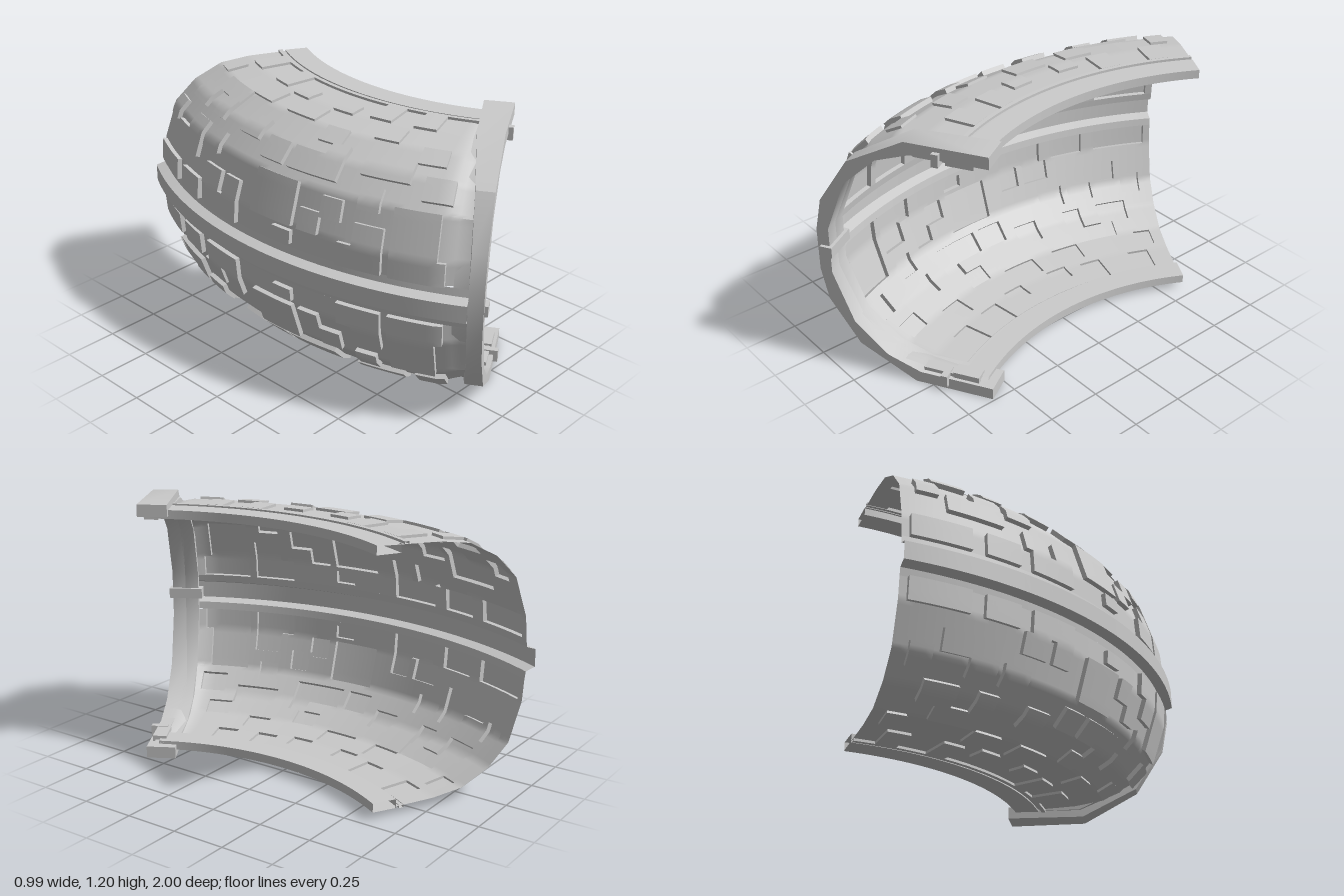
import * as THREE from 'three';
import { toCreasedNormals } from 'three/addons/utils/BufferGeometryUtils.js';

const CX = 1.49, CY = 0.6, HALF = Math.PI / 6; // ring axis, mid height, half sweep
const DEG = Math.PI / 180;
const { lerp, clamp, smoothstep } = THREE.MathUtils;

const material = new THREE.MeshStandardMaterial({ color: 0xcccccc, side: THREE.DoubleSide });

function addMesh(parent, name, geometry, crease = 0.5) {
  const mesh = new THREE.Mesh(toCreasedNormals(geometry, crease), material);
  mesh.name = name;
  parent.add(mesh);
}

// Half profile of the shell (ring radius, height above the middle) and the distance to each corner
const PROFILE = [
  [1.935, 0.09], [1.927, 0.19], [1.868, 0.37], [1.77, 0.47], [1.64, 0.538], [1.5, 0.558], [1.21, 0.567],
];
const STOPS = [0, 0.1, 0.3, 0.44, 0.58, 0.72, 1];

function profileAt(s) {
  let k = 0;
  while (k < PROFILE.length - 2 && s > STOPS[k + 1]) k++;
  const t = (s - STOPS[k]) / (STOPS[k + 1] - STOPS[k]);
  return PROFILE[k].map((v, axis) => lerp(v, PROFILE[k + 1][axis], t));
}

// Raised plates, in bands along the profile (hundredths): start angle and width in degrees
const BANDS = [
  { from: 0, to: 10, plates: [[-29, 8], [-19, 5], [-12, 7], [12, 6], [19, 7]] },
  { from: 2, to: 8, plates: [[2, 3]] },
  { from: 10, to: 20, plates: [[-13, 4], [-8, 3], [6, 3], [14, 4]] },
  { from: 10, to: 30, plates: [[-2, 7], [19, 6]] },
  { from: 18, to: 28, plates: [[-24, 8], [9, 3]] },
  { from: 26, to: 36, plates: [[-28, 3], [-20, 4], [-15, 4], [14, 3]] },
  { from: 34, to: 44, plates: [[-3, 4], [2, 8], [22, 4]] },
  { from: 40, to: 50, plates: [[-25, 5], [-17, 3], [-9, 4], [7, 3], [13, 7]] },
  { from: 50, to: 58, plates: [[-22, 8], [4, 4], [20, 4]] },
  { from: 58, to: 68, plates: [[-28, 3], [-14, 5], [-5, 6], [12, 4]] },
  { from: 70, to: 78, plates: [[-9, 4], [1, 4]] },
  { from: 72, to: 86, plates: [[-26, 4], [-16, 4], [8, 4], [16, 4]] },
];

// Half of the shell as a stepped surface: every plate is pushed out with its own side walls
function platedShell(sign) {
  const N = 60, M = 50;
  const heights = new Float32Array(N * M);
  for (const { from, to, plates } of BANDS)
    for (const [start, width] of plates)
      for (let i = start + 30; i < start + 30 + width; i++)
        heights.fill(from < 50 ? 0.022 : 0.012, i * M + from / 2, i * M + to / 2);
  const heightAt = (i, j) => (i < 0 || j < 0 || i >= N || j >= M ? 0 : heights[i * M + j]);

  const point = (i, j, h) => {
    const s = j / M, a = (i - 30) * DEG;
    const [r0, y0] = profileAt(s);
    const p = profileAt(Math.max(0, s - 0.02)), q = profileAt(Math.min(1, s + 0.02));
    const dr = q[0] - p[0], dy = q[1] - p[1];
    // the shell tucks in where it meets the end frame
    const push = (h - 0.03 * smoothstep(i, 55, 58.5)) / Math.hypot(dr, dy);
    const r = r0 + push * dy, y = y0 - push * dr;
    return [CX - r * Math.cos(a), CY + sign * y, r * Math.sin(a)];
  };
  const out = [];
  const quad = (a, b, c, d) => {
    if (sign > 0) out.push(...a, ...b, ...c, ...a, ...c, ...d);
    else out.push(...a, ...c, ...b, ...a, ...d, ...c);
  };
  for (let i = 0; i <= N; i++)
    for (let j = 0; j <= M; j++) {
      const h = heightAt(i, j), left = heightAt(i - 1, j), below = heightAt(i, j - 1);
      if (i < N && j < M)
        quad(point(i, j, h), point(i + 1, j, h), point(i + 1, j + 1, h), point(i, j + 1, h));
      if (j < M && h !== left)
        quad(point(i, j, left), point(i, j, h), point(i, j + 1, h), point(i, j + 1, left));
      if (i < N && h !== below)
        quad(point(i, j, h), point(i, j, below), point(i + 1, j, below), point(i + 1, j, h));
    }
  const geometry = new THREE.BufferGeometry();
  geometry.setAttribute('position', new THREE.Float32BufferAttribute(out, 3));
  return geometry;
}

// Sweep a [radius, height] profile around the ring axis, stopping just inside the end frame
function sweep(points) {
  const geometry = new THREE.LatheGeometry(
    points.map(([r, y]) => new THREE.Vector2(r, y)), 60, -Math.PI / 2 - HALF, 2 * HALF - DEG);
  return geometry.translate(CX, CY, 0);
}

// C-shaped end frame between two blends of the inner and outer curves; its back widens to the tips
const OUTER = [[1.17, 0.6], [1.53, 0.6], [1.79, 0.46], [1.925, 0.25], [1.955, 0.1]];
const INNER = [[1.17, 0.545], [1.507, 0.545], [1.66, 0.49], [1.81, 0.35], [1.9, 0.11]];
function endFrame(t0, t1, back, front, widen) {
  const curve = (t) => {
    const half = INNER.map(([r, y], i) => [-lerp(r, OUTER[i][0], t), lerp(y, OUTER[i][1], t)]);
    return [...half, ...half.map(([x, y]) => [x, -y]).reverse()];
  };
  const shape = new THREE.Shape(
    [...curve(t1), ...curve(t0).reverse()].map(([x, y]) => new THREE.Vector2(x, y)));
  const geometry = new THREE.ExtrudeGeometry(shape, { depth: front - back, bevelEnabled: false })
    .translate(0, 0, back);
  const pos = geometry.attributes.position;
  for (let i = 0; i < pos.count; i++)
    if (pos.getZ(i) < back + 0.001)
      pos.setZ(i, back - widen * clamp((1.9 + pos.getX(i)) / 0.5, 0, 1));
  return geometry;
}

// Box given by its ranges of ring radius, height and offset from the end plane
function block(r0, r1, y0, y1, z0, z1) {
  return new THREE.BoxGeometry(r1 - r0, y1 - y0, z1 - z0)
    .translate(-(r0 + r1) / 2, (y0 + y1) / 2, (z0 + z1) / 2);
}

export function createModel() {
  const model = new THREE.Group();
  model.name = 'curvedShellSegment';

  // Plated halves and the edge rails along the open side
  for (const [sign, label] of [[1, 'upper'], [-1, 'lower']]) {
    addMesh(model, label + 'PlatedShell', platedShell(sign));
    const rail = [[1.21, 0.53], [1.21, 0.57], [1.32, 0.57], [1.32, 0.53], [1.21, 0.53]];
    addMesh(model, label + 'EdgeRail', sweep(rail.map(([r, y]) => [r, y * sign])));
    const bead = [[1.335, 0.56], [1.335, 0.574], [1.355, 0.574], [1.355, 0.56]];
    addMesh(model, label + 'EdgeBead', sweep(bead.map(([r, y]) => [r, y * sign])));
  }

  // Raised rib around the middle
  addMesh(model, 'centreRib', sweep([
    [1.935, -0.09], [1.94, -0.055], [1.985, -0.04],
    [1.985, 0.04], [1.94, 0.055], [1.935, 0.09]]), 0.3);

  // Front end frame with its clips
  const frame = new THREE.Group();
  frame.name = 'frontEndFrame';
  frame.position.set(CX, CY, 0);
  frame.rotation.y = HALF;
  model.add(frame);
  addMesh(frame, 'frameFlange', endFrame(0, 1, -0.035, 0.03, 0.07));
  addMesh(frame, 'frameLip', endFrame(0, 0.4, -0.1, -0.035, 0));
  addMesh(frame, 'middleClip', block(1.885, 1.94, -0.025, 0.025, -0.12, 0.045));
  for (const s of [1, -1]) {
    const range = (a, b) => (s > 0 ? [a, b] : [-b, -a]);
    addMesh(frame, 'tipPlate', block(1.24, 1.36, ...range(0.518, 0.55), -0.05, 0.015));
    addMesh(frame, 'tipPlateStep', block(1.36, 1.5, ...range(0.528, 0.55), -0.04, 0.01));
    addMesh(frame, 'tipClip', block(1.375, 1.405, ...range(0.522, 0.58), -0.03, 0.05));
  }
  return model;
}
